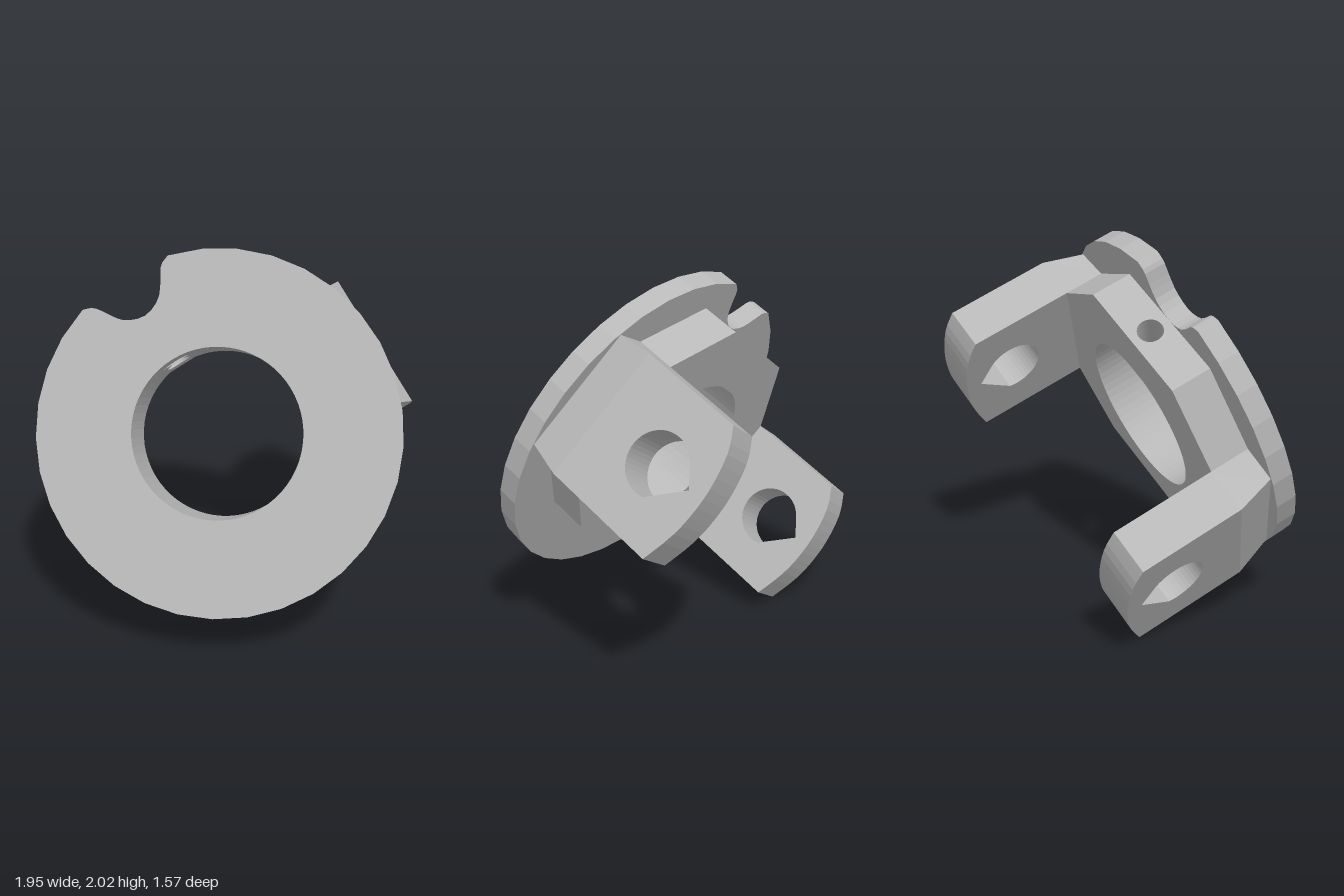
import * as THREE from 'three';

const BORE = 0.44, RIM = 0.94;
const DISC_BACK = -0.117, BODY_BACK = -0.34;
const ARM_IN = 0.675, ARM_OUT = 0.93, ARM_HALF = 0.37;
const SLOT = 0.08; // half width of the drilled section of the hub

const pts = (list) => list.map(([x, y]) => new THREE.Vector2(x, y));

// points along an arc, ends included
function arc(cx, cy, r, from, to, n) {
  return Array.from({ length: n + 1 }, (_, i) => {
    const a = from + (to - from) * i / n;
    return new THREE.Vector2(cx + r * Math.cos(a), cy + r * Math.sin(a));
  });
}

function extrude(outline, hole, depth) {
  const shape = new THREE.Shape(outline);
  if (hole) shape.holes.push(new THREE.Path(hole));
  return new THREE.ExtrudeGeometry(shape, { depth, bevelEnabled: false, steps: 1 });
}

const basis = (x, y, z) => new THREE.Matrix4().makeBasis(
  new THREE.Vector3(...x), new THREE.Vector3(...y), new THREE.Vector3(...z));

// thin flange disc with a rounded notch in its rim
function discGeometry() {
  const notch = new THREE.SplineCurve(pts([
    [-0.26, 0.903], [-0.205, 0.88], [-0.165, 0.82], [-0.1, 0.74], [0, 0.705],
    [0.1, 0.74], [0.165, 0.82], [0.205, 0.88], [0.26, 0.903],
  ])).getPoints(20);
  const a = Math.atan2(0.26, 0.903);
  const rim = arc(0, 0, RIM, Math.PI / 2 + a, Math.PI * 2.5 - a, 30);
  // the notch runs from the end of the rim back to its start
  const outline = [...rim, ...notch.reverse().slice(1, -1)];
  const hole = arc(0, 0, BORE, 0, Math.PI * 2, 64).slice(0, -1);
  return extrude(outline, hole, -DISC_BACK).translate(0, 0, DISC_BACK);
}

// thick polygonal hub, open where the drilled section sits
function hubGeometry() {
  const a = Math.asin(SLOT / BORE);
  const outline = [
    ...pts([
      [SLOT, 0.705], [0.355, 0.705], [ARM_IN, ARM_HALF], [ARM_IN, -ARM_HALF], [0.335, -0.595],
      [-0.335, -0.595], [-ARM_IN, -ARM_HALF], [-ARM_IN, ARM_HALF], [-0.355, 0.705], [-SLOT, 0.705],
    ]),
    ...arc(0, 0, BORE, Math.PI / 2 + a, Math.PI * 2.5 - a, 60),
  ];
  return extrude(outline, null, DISC_BACK - BODY_BACK).translate(0, 0, BODY_BACK);
}

// hub section with the radial screw hole, its inner end curved to the bore
function drilledGeometry() {
  const mid = (DISC_BACK + BODY_BACK) / 2;
  const outline = pts([
    [BODY_BACK, -SLOT], [DISC_BACK, -SLOT], [DISC_BACK, SLOT], [BODY_BACK, SLOT],
  ]);
  const g = extrude(outline, arc(mid, 0, 0.068, 0, Math.PI * 2, 32).slice(0, -1), 0.705);
  g.applyMatrix4(basis([0, 0, 1], [1, 0, 0], [0, 1, 0]));
  const p = g.attributes.position;
  for (let i = 0; i < p.count; i++) {
    if (p.getY(i) < 0.1) p.setY(i, Math.sqrt(BORE ** 2 - p.getX(i) ** 2));
  }
  g.computeVertexNormals();
  return g;
}

// arm plate with curved tip and pointed pin hole
function armGeometry(side) {
  const tip = new THREE.SplineCurve(pts([
    [0.37, -0.915], [0.26, -0.98], [0.1, -1.022], [-0.05, -1.035], [-0.2, -1.025], [-0.37, -0.985],
  ])).getPoints(14);
  const outline = [...pts([[-ARM_HALF, BODY_BACK], [ARM_HALF, BODY_BACK]]), ...tip];
  const hole = [
    ...arc(0, -0.74, 0.165, -0.9, Math.PI + 0.3, 30),
    new THREE.Vector2(0.01, -0.947),
  ];
  return extrude(outline, hole, ARM_OUT - ARM_IN)
    .applyMatrix4(basis([0, 1, 0], [0, 0, 1], [1, 0, 0]))
    .translate(side > 0 ? ARM_IN : -ARM_OUT, 0, 0);
}

// arm root, tapering inward to meet the disc
function footGeometry(side) {
  const depth = DISC_BACK - BODY_BACK;
  const g = new THREE.BoxGeometry(ARM_OUT - ARM_IN, ARM_HALF * 2, depth);
  g.translate(side * (ARM_OUT + ARM_IN) / 2, 0, BODY_BACK + depth / 2);
  const p = g.attributes.position;
  for (let i = 0; i < p.count; i++) {
    if (p.getZ(i) > DISC_BACK - 0.01 && Math.abs(p.getX(i)) > 0.9) {
      p.setX(i, side * 0.866);
      p.setY(i, Math.sign(p.getY(i)) * 0.344);
    }
  }
  g.computeVertexNormals();
  return g;
}

export function createModel() {
  const grey = new THREE.MeshStandardMaterial({ color: 0xb8b8b8 });
  grey.name = 'plainGrey';

  const yoke = new THREE.Group();
  yoke.name = 'yoke';
  const add = (name, geometry) => {
    const mesh = new THREE.Mesh(geometry, grey);
    mesh.name = name;
    yoke.add(mesh);
  };

  add('flangeDisc', discGeometry());
  add('hub', hubGeometry());
  add('drilledHubSection', drilledGeometry());
  for (const [label, side] of [['left', 1], ['right', -1]]) {
    add(label + 'Arm', armGeometry(side));
    add(label + 'ArmRoot', footGeometry(side));
  }

  // spin about the disc axis, then lean the whole part back
  yoke.rotation.z = 0.605;
  const tilt = new THREE.Group();
  tilt.name = 'tiltedYoke';
  tilt.rotation.x = -0.414;
  tilt.position.set(-0.005, 1.145, 0.41);
  tilt.add(yoke);

  const model = new THREE.Group();
  model.name = 'flangeYoke';
  model.add(tilt);
  return model;
}
